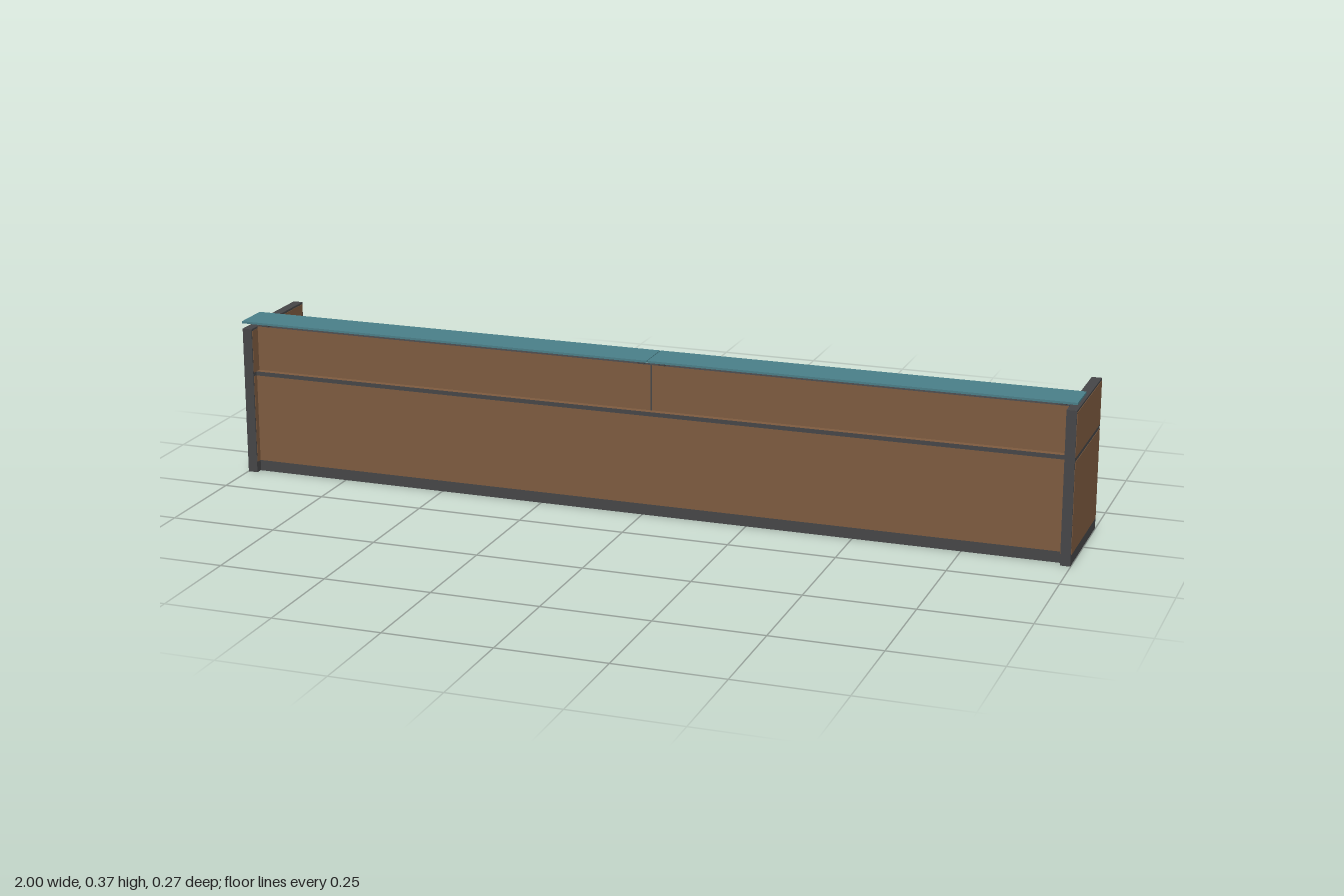
import * as THREE from 'three';

export function createModel() {
  const mat = (name, color) => {
    const m = new THREE.MeshStandardMaterial({ color });
    m.name = name;
    return m;
  };
  const wood = mat('brown wood', 0x7f5c40);
  const dark = mat('dark edging', 0x464648);
  const glass = mat('teal glass', 0x4b808a);

  const model = new THREE.Group();
  model.name = 'receptionCounter';

  // Box given by its limits on each axis
  const box = (parent, name, material, [x0, x1], [y0, y1], [z0, z1]) => {
    const mesh = new THREE.Mesh(new THREE.BoxGeometry(x1 - x0, y1 - y0, z1 - z0), material);
    mesh.position.set((x0 + x1) / 2, (y0 + y1) / 2, (z0 + z1) / 2);
    mesh.name = name;
    parent.add(mesh);
    return mesh;
  };

  // Boards: wooden broad faces, dark edges
  const woodFrontBack = [dark, dark, dark, dark, wood, wood];
  const woodTopBottom = [dark, dark, wood, wood, dark, dark];
  const D = 0.135, inner = 0.975, seam = 0.018;

  // End panels: dark core with wooden plates on both faces
  for (const s of [1, -1]) {
    const end = new THREE.Group();
    end.name = s > 0 ? 'leftEndPanel' : 'rightEndPanel';
    model.add(end);
    const span = (a, b) => (s > 0 ? [a, b] : [-b, -a]);
    box(end, 'endCore', dark, span(inner + 0.001, 0.999), [0, 0.355], [-D, D]);
    for (const [a, b] of [[inner, inner + 0.001], [0.999, 1]]) {
      const x = span(a, b);
      box(end, 'endLowerFace', wood, x, [0.026, 0.238], [-D + 0.003, D - 0.003]);
      box(end, 'endUpperFace', wood, x, [0.248, 0.35], [-D + 0.003, D - 0.003]);
    }
  }

  // Front: plinth, lower panel and worktop
  box(model, 'plinth', dark, [-inner, inner], [0, 0.026], [0.087, 0.118]);
  box(model, 'worktop', woodTopBottom, [-inner, inner], [0.238, 0.248], [-D + 0.001, 0.12]);
  box(model, 'lowerFrontPanel', woodFrontBack, [-inner, inner], [0.026, 0.238], [0.088, 0.118]);
  box(model, 'lowerPanelSeam', dark, [seam - 0.001, seam + 0.001], [0.026, 0.238], [0.0875, 0.088]);

  // Two upper panels, each with a glass shelf on two posts
  for (const [a, b, posts] of [[-inner, seam, [-0.955, -0.008]], [seam, inner, [0.042, 0.96]]]) {
    box(model, 'upperFrontPanel', woodFrontBack, [a, b], [0.248, 0.355], [0.091, 0.105]);
    for (const x of posts) {
      box(model, 'shelfPost', dark, [x - 0.008, x + 0.008], [0.355, 0.368], [0.091, 0.105]);
    }
    const x = a < -0.5 ? [-1, seam - 0.001] : [seam + 0.001, 1];
    box(model, 'glassShelf', glass, x, [0.368, 0.373], [0.043, D]);
  }
  box(model, 'upperPanelSeam', dark, [seam - 0.002, seam + 0.002], [0.248, 0.355], [0.105, 0.1055]);

  return model;
}
